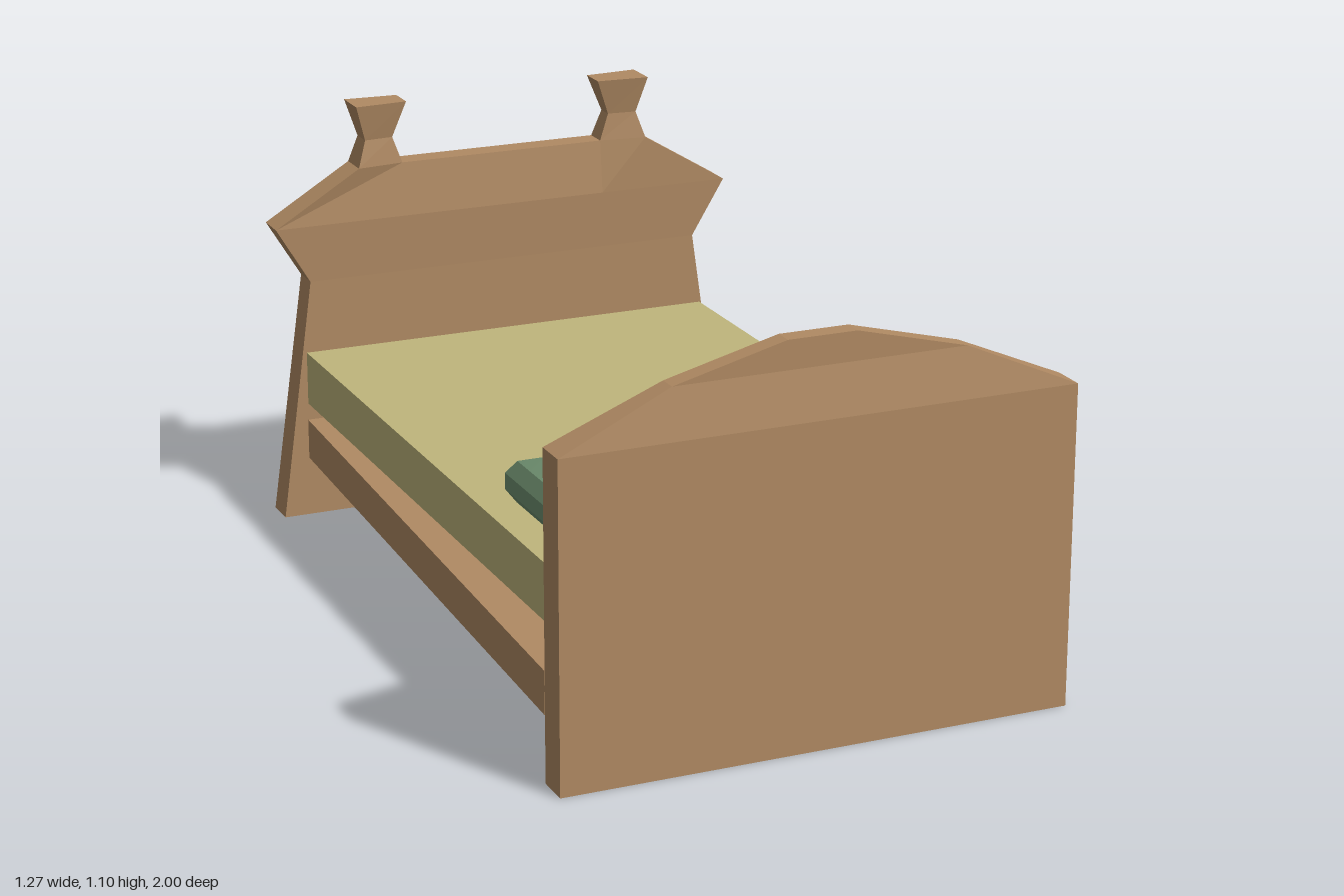
import * as THREE from 'three';
import { toCreasedNormals } from 'three/addons/utils/BufferGeometryUtils.js';

const wood = new THREE.MeshStandardMaterial({ color: 0xb08a63, flatShading: true });
const linen = new THREE.MeshStandardMaterial({ color: 0xbfb67c, flatShading: true });
const cloth = new THREE.MeshStandardMaterial({ color: 0x6f9070 });

// Solid stacked from rows { y, s }, where s lists stations [x, zBack, zFront] by rising x.
function loft(rows) {
  const n = rows[0].s.length, m = n * 2, pos = [], idx = [];
  for (const { y, s } of rows) {
    for (const [x, , front] of s) pos.push(x, y, front);
    for (const [x, back] of [...s].reverse()) pos.push(x, y, back);
  }
  const quad = (a, b, c, d) => idx.push(a, b, c, a, c, d);
  for (let j = 0; j < rows.length - 1; j++) {
    for (let i = 0; i < m; i++) {
      const k = (i + 1) % m;
      quad(j * m + i, j * m + k, (j + 1) * m + k, (j + 1) * m + i);
    }
  }
  const top = (rows.length - 1) * m;
  for (let i = 0; i < n - 1; i++) {
    const f = i, g = i + 1, h = m - 2 - i, b = m - 1 - i;
    quad(top + f, top + g, top + h, top + b);
    quad(b, h, g, f);
  }
  const geo = new THREE.BufferGeometry();
  geo.setAttribute('position', new THREE.Float32BufferAttribute(pos, 3));
  geo.setIndex(idx);
  const flat = geo.toNonIndexed();
  flat.computeVertexNormals();
  return flat;
}

// Row that is symmetric in x, made from its half stations (outer first).
const symmetric = (y, ...half) => ({
  y,
  s: [...half.map(([x, b, f]) => [-x, b, f]), ...[...half].reverse()],
});

export function createModel() {
  const bed = new THREE.Group();
  bed.name = 'bed';
  const add = (name, geo, mat) => {
    const mesh = new THREE.Mesh(geo, mat);
    mesh.name = name;
    bed.add(mesh);
    return mesh;
  };

  // Headboard: straight panel with a thinner arched crest
  add('headboard', loft([
    symmetric(0, [0.635, 0.915, 1]),
    symmetric(0.79, [0.635, 0.915, 1]),
    symmetric(0.91, [0.36, 0.933, 0.98]),
    symmetric(0.98, [0.085, 0.933, 0.98]),
  ]), wood);

  // Footboard: pinched waist, wide shoulders, slimmer top between the posts
  add('footboard', loft([
    symmetric(0, [0.635, -0.995, -0.91], [0.28, -0.995, -0.91]),
    symmetric(0.64, [0.545, -0.99, -0.913], [0.28, -0.99, -0.913]),
    symmetric(0.79, [0.635, -0.995, -0.91], [0.28, -0.995, -0.91]),
    symmetric(0.93, [0.405, -0.995, -0.91], [0.28, -0.987, -0.925]),
  ]), wood);

  // Flared posts on the footboard
  const post = [
    { y: 0.93, s: [[0.28, -0.987, -0.925], [0.405, -0.995, -0.91]] },
    { y: 1.0, s: [[0.305, -0.975, -0.93], [0.382, -0.982, -0.923]] },
    { y: 1.095, s: [[0.27, -0.99, -0.915], [0.41, -1, -0.905]] },
  ];
  const mirrored = post.map(({ y, s }) => ({
    y, s: s.map(([x, b, f]) => [-x, b, f]).reverse(),
  }));
  add('leftPost', loft(post), wood);
  add('rightPost', loft(mirrored), wood);

  // Bed base: slab narrowing towards the foot
  const base = new THREE.BoxGeometry(1.26, 0.106, 1.81);
  const p = base.attributes.position;
  for (let i = 0; i < p.count; i++) if (p.getZ(i) < 0) p.setX(i, p.getX(i) * 0.895);
  add('bedBase', base, wood).position.set(0, 0.211, -0.005);

  add('mattress', new THREE.BoxGeometry(1.125, 0.14, 1.76), linen).position.set(-0.006, 0.386, -0.01);

  // Pillows: square cushions with a bevelled rim and domed top
  const profile = [[0, 0.505], [0.19, 0.487], [0.21, 0.515], [0.21, 0.555], [0.188, 0.588],
    [0.13, 0.607], [0.05, 0.628], [0, 0.631]].map(([r, y]) => new THREE.Vector2(r * Math.SQRT2, y));
  const pillow = toCreasedNormals(new THREE.LatheGeometry(profile, 4, Math.PI / 4), 0.45);
  add('leftPillow', pillow, cloth).position.set(0.265, 0, 0.638);
  add('rightPillow', pillow, cloth).position.set(-0.322, 0, 0.638);

  return bed;
}
